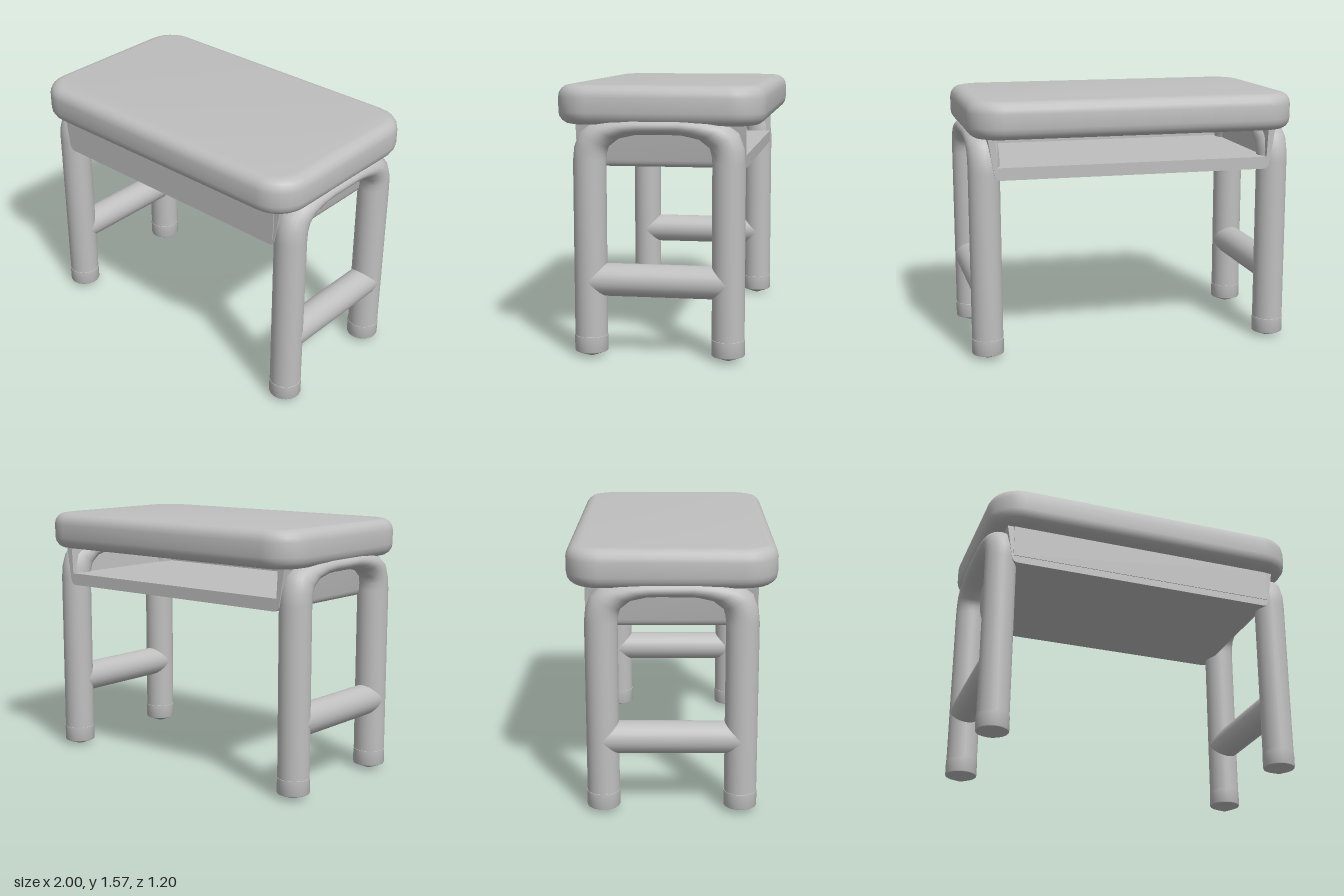
import * as THREE from 'three';
import { toCreasedNormals } from 'three/addons/utils/BufferGeometryUtils.js';

const grey = new THREE.MeshStandardMaterial({ color: 0xbfbfbf });
grey.name = 'plain grey';

function part(name, geometry, parent, x = 0, y = 0, z = 0) {
  const mesh = new THREE.Mesh(geometry, grey);
  mesh.name = name;
  mesh.position.set(x, y, z);
  parent.add(mesh);
  return mesh;
}

// Rounded rectangle, used for the top slab
function roundedRect(w, d, r) {
  const s = new THREE.Shape();
  s.absarc(w - r, d - r, r, 0, Math.PI / 2);
  s.absarc(r - w, d - r, r, Math.PI / 2, Math.PI);
  s.absarc(r - w, r - d, r, Math.PI, Math.PI * 1.5);
  s.absarc(w - r, r - d, r, Math.PI * 1.5, Math.PI * 2);
  return s;
}

// Bent tube from [outer z, outer y, inner z, inner y] stations, mirrored to the back
function archGeometry(radius, sides) {
  const half = [
    [0.495, 0.12, 0.305, 0.12], [0.495, 1.14, 0.305, 1.14], [0.487, 1.22, 0.301, 1.18],
    [0.455, 1.305, 0.29, 1.22], [0.395, 1.347, 0.23, 1.267], [0.305, 1.375, 0.135, 1.288],
    [0.17, 1.393, 0.08, 1.29],
  ];
  const rings = [...half, ...half.map(([a, b, c, d]) => [-a, b, -c, d]).reverse()];
  const pos = [], index = [];
  rings.forEach(([oz, oy, iz, iy], i) => {
    for (let j = 0; j < sides; j++) {
      const a = (j / sides) * Math.PI * 2, c = Math.cos(a) / 2;
      pos.push(radius * Math.sin(a), (oy + iy) / 2 + (oy - iy) * c, (oz + iz) / 2 + (oz - iz) * c);
      if (i === 0) continue;
      const k = (j + 1) % sides, p = (i - 1) * sides, q = i * sides;
      index.push(p + j, p + k, q + j, p + k, q + k, q + j);
    }
  });
  const g = new THREE.BufferGeometry();
  g.setAttribute('position', new THREE.Float32BufferAttribute(pos, 3));
  g.setIndex(index);
  g.computeVertexNormals();
  return g;
}

export function createModel() {
  const model = new THREE.Group();
  model.name = 'desk';

  // Thick top with soft edges
  const bevel = 0.07;
  const top = new THREE.ExtrudeGeometry(roundedRect(1 - bevel, 0.6 - bevel, 0.2 - bevel), {
    depth: 0.225 - bevel * 2, bevelThickness: bevel, bevelSize: bevel, bevelSegments: 4, curveSegments: 3,
  });
  top.rotateX(-Math.PI / 2);
  part('tabletop', toCreasedNormals(top, 1.0), model, 0, 1.345 + bevel, 0);

  // Tray: floor with rounded lower corners and side walls, open at the back
  const tray = new THREE.Group();
  tray.name = 'tray';
  model.add(tray);
  const u = new THREE.Shape();
  u.moveTo(-0.815, 1.1);
  u.lineTo(0.815, 1.1);
  u.quadraticCurveTo(0.85, 1.1, 0.855, 1.14);
  u.lineTo(0.89, 1.36);
  u.lineTo(0.845, 1.36);
  u.lineTo(0.835, 1.175);
  u.lineTo(-0.835, 1.175);
  u.lineTo(-0.845, 1.36);
  u.lineTo(-0.89, 1.36);
  u.lineTo(-0.855, 1.14);
  u.quadraticCurveTo(-0.85, 1.1, -0.815, 1.1);
  const channel = new THREE.ExtrudeGeometry(u, { depth: 0.975, bevelEnabled: false, curveSegments: 4 });
  part('trayFloorAndSides', toCreasedNormals(channel, 0.7), tray, 0, 0, -0.49);
  part('trayFront', new THREE.BoxGeometry(1.69, 0.21, 0.045), tray, 0, 1.25, 0.467);

  // Leg frames: arch, stretcher and feet on each side
  const arch = archGeometry(0.095, 24);
  const bar = new THREE.CylinderGeometry(0.095, 0.095, 0.8, 24, 1, true).rotateX(Math.PI / 2);
  const foot = toCreasedNormals(new THREE.LatheGeometry(
    [[0, 0], [0.02, 0], [0.095, 0.03], [0.097, 0.035], [0.097, 0.123], [0.09, 0.126]]
      .map(([r, y]) => new THREE.Vector2(r, y)), 24), 0.8);
  for (const [side, x] of [['left', 0.903], ['right', -0.903]]) {
    const frame = new THREE.Group();
    frame.name = side + 'LegFrame';
    frame.position.x = x;
    model.add(frame);
    part('legArch', arch, frame);
    part('stretcher', bar, frame, 0, 0.45, 0);
    part('frontFoot', foot, frame, 0, 0, 0.4);
    part('backFoot', foot, frame, 0, 0, -0.4);
  }
  return model;
}
